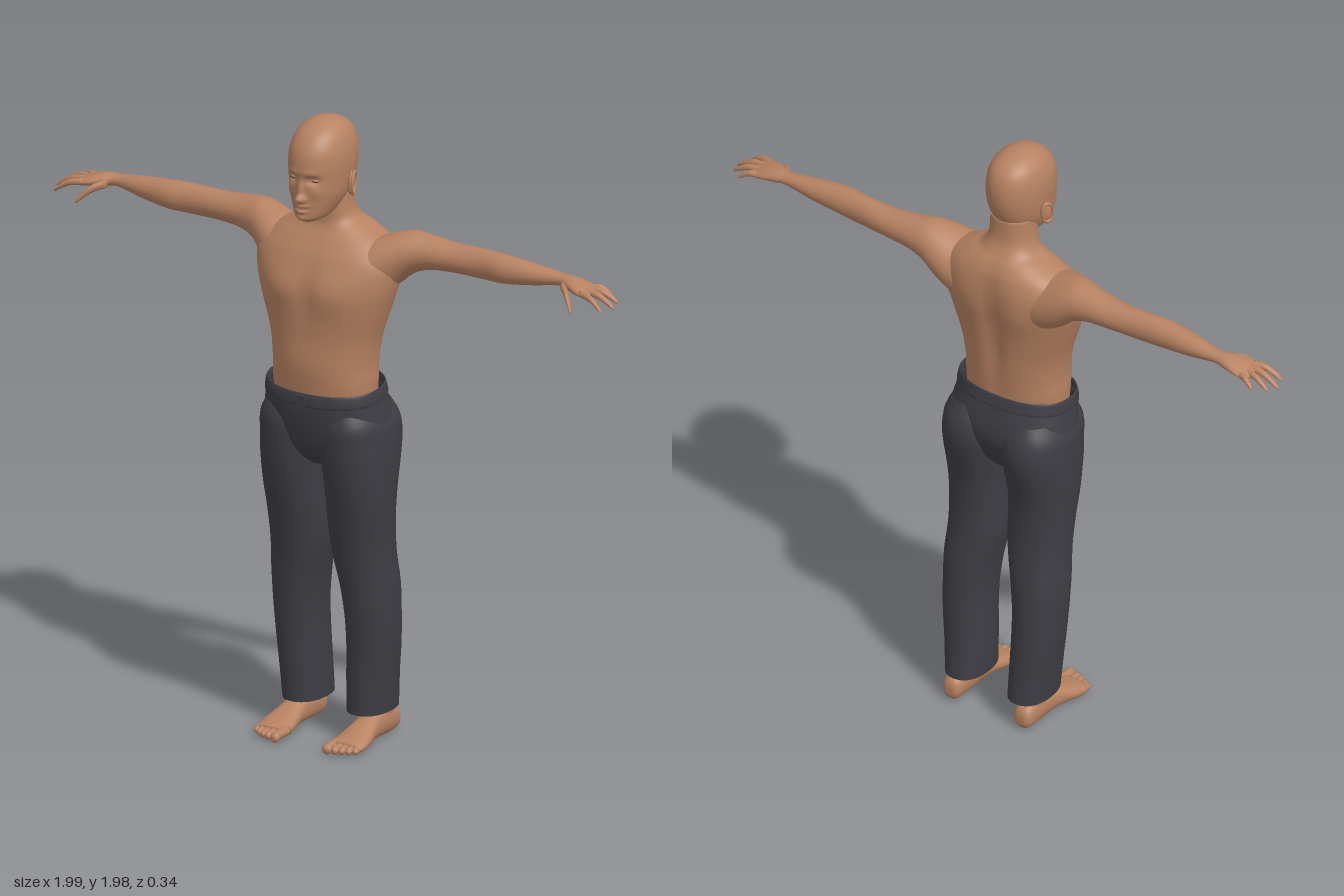
import * as THREE from 'three';

const skin = new THREE.MeshStandardMaterial({ color: 0xb78262 });
skin.name = 'skin';
const cloth = new THREE.MeshStandardMaterial({ color: 0x3e3d44, side: THREE.DoubleSide });
cloth.name = 'trouser cloth';
const lashBrown = new THREE.MeshStandardMaterial({ color: 0x3f2b22 });
lashBrown.name = 'lash brown';

// Catmull-Rom blend of four rows of numbers
function blend(a, b, c, d, t) {
  return b.map((p, i) => p + 0.5 * t * (c[i] - a[i] + t * (2 * a[i] - 5 * p + 4 * c[i] - d[i]
    + t * (3 * (p - c[i]) + d[i] - a[i]))));
}

// Place (along, u, v) on the chosen axis
const place = {
  y: (t, u, v) => [u, t, v],
  x: (t, u, v) => [t, v, u],
  z: (t, u, v) => [v, u, t],
};

// Smooth skin over superellipse rings; row = [along, uMin, uMax, vMin, vMax], along rising
function loft(rows, axis, { seg = 32, steps = 4, n = 2, caps = true } = {}) {
  const rings = [];
  const at = i => rows[Math.min(rows.length - 1, Math.max(0, i))];
  for (let i = 0; i < rows.length - 1; i++)
    for (let s = 0; s < steps; s++) rings.push(blend(at(i - 1), at(i), at(i + 1), at(i + 2), s / steps));
  rings.push(rows[rows.length - 1]);
  const pos = [], index = [];
  const bend = w => Math.sign(w) * Math.abs(w) ** (2 / n);
  for (const [t, u0, u1, v0, v1] of rings)
    for (let j = 0; j < seg; j++) {
      const a = j / seg * Math.PI * 2;
      pos.push(...place[axis](t, (u0 + u1) / 2 + (u1 - u0) / 2 * bend(Math.cos(a)),
        (v0 + v1) / 2 + (v1 - v0) / 2 * bend(Math.sin(a))));
    }
  for (let i = 0; i < rings.length - 1; i++)
    for (let j = 0; j < seg; j++) {
      const a = i * seg + j, b = i * seg + (j + 1) % seg;
      index.push(a, a + seg, b, b, a + seg, b + seg);
    }
  if (caps) [0, rings.length - 1].forEach((r, end) => {
    const [t, u0, u1, v0, v1] = rings[r], mid = pos.length / 3;
    pos.push(...place[axis](t, (u0 + u1) / 2, (v0 + v1) / 2));
    for (let j = 0; j < seg; j++) {
      const a = r * seg + j, b = r * seg + (j + 1) % seg;
      index.push(mid, ...(end ? [b, a] : [a, b]));
    }
  });
  const g = new THREE.BufferGeometry();
  g.setAttribute('position', new THREE.Float32BufferAttribute(pos, 3));
  g.setIndex(index);
  g.computeVertexNormals();
  return g;
}

// Move every vertex by a rule
function shape(g, rule) {
  const p = g.attributes.position, v = new THREE.Vector3();
  for (let i = 0; i < p.count; i++) {
    rule(v.fromBufferAttribute(p, i));
    p.setXYZ(i, v.x, v.y, v.z);
  }
  g.computeVertexNormals();
  return g;
}

// Soft symmetric swellings and hollows: [x, y, amount, width, height, side]
function sculpt(g, bumps) {
  return shape(g, v => {
    let dz = 0;
    for (const [x, y, amount, sx, sy, side = 1] of bumps)
      dz += side * amount * THREE.MathUtils.smoothstep(v.z * side, 0, 0.06)
        * Math.exp(-(((Math.abs(v.x) - x) / sx) ** 2) - ((v.y - y) / sy) ** 2);
    v.z += dz;
  });
}

function mirrored(g) {
  const m = g.clone().scale(-1, 1, 1), ix = m.index.array;
  for (let i = 0; i < ix.length; i += 3) [ix[i], ix[i + 1]] = [ix[i + 1], ix[i]];
  m.computeVertexNormals();
  return m;
}

// Finger or toe from points [x, y, z, radius] running along the axis
const digit = (pts, axis) => loft(pts.map(([x, y, z, r]) => axis === 'x'
  ? [x, z - r, z + r, y - r, y + r] : [z, y - r, y + r, x - r, x + r]), axis, { seg: 12 });

export function createModel() {
  const model = new THREE.Group();
  model.name = 'figure';
  const add = (name, g, mat) => {
    const m = new THREE.Mesh(g, mat);
    m.name = name;
    model.add(m);
  };
  const pair = (name, g, mat) => {
    add(name + 'Left', g, mat);
    add(name + 'Right', mirrored(g), mat);
  };
  const body = rows => rows.map(([y, w, zb, zf]) => [y, -w, w, zb, zf]);

  // Torso and neck, with chest, shoulder blades and spine groove
  add('torso', sculpt(loft(body([
    [1.10, 0.165, -0.105, 0.12], [1.16, 0.168, -0.11, 0.127], [1.22, 0.168, -0.115, 0.13],
    [1.30, 0.18, -0.122, 0.13], [1.40, 0.212, -0.135, 0.133], [1.48, 0.235, -0.146, 0.128],
    [1.55, 0.24, -0.147, 0.104], [1.60, 0.195, -0.14, 0.075], [1.635, 0.135, -0.124, 0.052],
    [1.66, 0.09, -0.105, 0.046], [1.70, 0.073, -0.086, 0.05], [1.77, 0.07, -0.08, 0.05],
  ]), 'y', { seg: 64, steps: 6, n: 2.25 }), [
    [0.09, 1.45, 0.012, 0.07, 0.06], [0, 1.45, -0.006, 0.02, 0.1], [0, 1.22, 0.005, 0.08, 0.06],
    [0.1, 1.5, 0.01, 0.06, 0.09, -1], [0, 1.38, -0.016, 0.03, 0.2, -1],
  ]), skin);

  // Head, sculpted with nose, eye sockets, lips and chin
  add('head', sculpt(loft(body([
    [1.676, 0.022, 0.06, 0.125], [1.69, 0.046, 0.0, 0.143], [1.72, 0.064, -0.04, 0.146],
    [1.76, 0.08, -0.075, 0.146], [1.80, 0.087, -0.095, 0.148], [1.85, 0.091, -0.105, 0.151],
    [1.90, 0.088, -0.102, 0.142], [1.94, 0.074, -0.085, 0.116], [1.965, 0.05, -0.052, 0.08],
    [1.977, 0.024, -0.015, 0.045], [1.98, 0.004, 0.012, 0.02],
  ]), 'y', { seg: 96, steps: 8, n: 2.15 }), [
    [0, 1.757, 0.026, 0.011, 0.013], [0, 1.785, 0.012, 0.009, 0.022], [0.012, 1.752, 0.009, 0.008, 0.008],
    [0.035, 1.815, -0.014, 0.018, 0.012], [0.03, 1.838, 0.004, 0.025, 0.008],
    [0, 1.732, 0.011, 0.02, 0.006], [0, 1.715, 0.01, 0.017, 0.006], [0, 1.7235, -0.006, 0.025, 0.003],
    [0, 1.692, 0.006, 0.02, 0.01], [0.05, 1.775, 0.006, 0.02, 0.02],
  ]), skin);

  // Eyelids, lash lines and ears
  const eye = new THREE.Vector3(0.035, 1.813, 0.115);
  pair('eyelid', new THREE.SphereGeometry(0.0165, 20, 14).scale(1.15, 0.7, 1)
    .translate(eye.x, eye.y, eye.z), skin);
  const lash = [-1, -0.5, 0, 0.5, 1].map(a => new THREE.Vector3(
    eye.x + 0.019 * Math.sin(a), eye.y - 0.002 - 0.001 * a * a, eye.z + 0.0165 * Math.cos(a)));
  pair('lashLine', new THREE.TubeGeometry(new THREE.CatmullRomCurve3(lash), 16, 0.0013, 6), lashBrown);
  const setEar = g => g.rotateY(0.35).rotateX(-0.12).translate(0.095, 1.787, 0.016);
  pair('ear', setEar(new THREE.SphereGeometry(1, 20, 14).scale(0.009, 0.036, 0.02)), skin);
  pair('earRim', setEar(new THREE.TorusGeometry(0.03, 0.005, 8, 28).rotateY(Math.PI / 2)
    .scale(1, 1.15, 0.66).translate(0.008, 0, 0)), skin);

  // Arms from inside the chest out to the palm: [x, zMin, zMax, yMin, yMax]
  pair('arm', loft([
    [0.08, -0.125, 0.07, 1.41, 1.59], [0.16, -0.135, 0.072, 1.425, 1.613], [0.22, -0.135, 0.045, 1.465, 1.634],
    [0.27, -0.128, 0.015, 1.508, 1.645], [0.33, -0.122, -0.006, 1.533, 1.638], [0.42, -0.115, -0.02, 1.54, 1.63],
    [0.52, -0.105, -0.026, 1.54, 1.633], [0.60, -0.102, -0.018, 1.543, 1.632], [0.70, -0.1, -0.03, 1.556, 1.622],
    [0.79, -0.094, -0.046, 1.572, 1.61], [0.83, -0.1, -0.032, 1.567, 1.609], [0.87, -0.106, -0.014, 1.564, 1.6],
    [0.905, -0.104, -0.01, 1.562, 1.588], [0.918, -0.095, -0.02, 1.568, 1.582],
  ], 'x'), skin);

  // Fingers and thumb
  [
    ['indexFinger', [0.89, 1.579, -0.022], [0.98, 1.541, -0.002]],
    ['middleFinger', [0.89, 1.581, -0.045], [0.997, 1.543, -0.046]],
    ['ringFinger', [0.89, 1.579, -0.068], [0.985, 1.55, -0.084]],
    ['littleFinger', [0.88, 1.576, -0.09], [0.947, 1.556, -0.112]],
    ['thumb', [0.815, 1.583, -0.04], [0.887, 1.53, 0.024]],
  ].forEach(([name, a, b]) => {
    const r = name === 'thumb' ? 0.013 : 0.0105;
    pair(name, digit([[0, 1], [0.45, 1], [0.8, 0.8], [0.95, 0.55], [1, 0.15]].map(([t, k]) => [
      ...a.map((p, i) => p + (b[i] - p) * t + (i === 1 ? 0.012 * Math.sin(t * Math.PI) : 0)), r * k]), 'x'), skin);
  });

  // Trouser seat and waistband, both dipping toward the front
  const dip = v => { v.y -= 0.1 * v.z * THREE.MathUtils.smoothstep(v.y, 1.0, 1.1); };
  add('trouserSeat', shape(loft(body([
    [0.885, 0.05, -0.1, 0.06], [0.91, 0.12, -0.118, 0.088], [0.95, 0.19, -0.135, 0.112],
    [1.0, 0.206, -0.15, 0.126], [1.05, 0.202, -0.147, 0.134], [1.10, 0.192, -0.131, 0.139],
    [1.14, 0.186, -0.122, 0.136],
  ]), 'y', { seg: 64, n: 2.3, caps: false }), dip), cloth);
  add('waistband', shape(loft(body([
    [1.103, 0.188, -0.128, 0.136], [1.107, 0.194, -0.134, 0.143], [1.125, 0.192, -0.13, 0.143],
    [1.141, 0.189, -0.126, 0.14], [1.145, 0.185, -0.122, 0.136], [1.13, 0.18, -0.118, 0.132],
  ]), 'y', { seg: 64, n: 2.3, caps: false }), dip), cloth);
  add('waistTab', new THREE.BoxGeometry(0.022, 0.034, 0.006).translate(0, 1.11, 0.143), cloth);

  // Trouser legs, open at the hem: [y, xMin, xMax, zMin, zMax]
  pair('trouserLeg', loft([
    [0.09, 0.05, 0.18, -0.169, 0.023], [0.2, 0.05, 0.19, -0.16, 0.027], [0.3, 0.052, 0.2, -0.155, 0.031],
    [0.4, 0.05, 0.205, -0.15, 0.04], [0.5, 0.037, 0.207, -0.144, 0.05], [0.6, 0.016, 0.203, -0.13, 0.062],
    [0.7, 0.011, 0.205, -0.125, 0.08], [0.8, 0.011, 0.211, -0.131, 0.102], [0.9, 0.006, 0.214, -0.155, 0.12],
    [0.97, 0.003, 0.213, -0.167, 0.126], [1.03, 0.01, 0.207, -0.158, 0.128], [1.08, 0.03, 0.18, -0.13, 0.11],
  ], 'y', { n: 2.25, caps: false }), cloth);

  // Ankles, feet and toes
  pair('ankle', loft([
    [0.03, 0.1, 0.162, -0.15, -0.03], [0.09, 0.1, 0.165, -0.148, -0.04], [0.2, 0.09, 0.17, -0.14, -0.03],
  ], 'y'), skin);
  pair('foot', loft([
    [-0.167, 0.022, 0.05, 0.117, 0.145], [-0.155, 0.004, 0.075, 0.102, 0.16], [-0.11, 0, 0.097, 0.097, 0.166],
    [-0.05, 0.002, 0.094, 0.095, 0.167], [0, 0.005, 0.075, 0.09, 0.175], [0.05, 0.001, 0.054, 0.081, 0.187],
    [0.09, 0, 0.04, 0.078, 0.19], [0.112, 0.005, 0.032, 0.082, 0.184],
  ], 'z', { n: 2.2 }), skin);
  for (let i = 0; i < 5; i++) {
    const x = [0.093, 0.119, 0.14, 0.159, 0.176][i], r = [0.016, 0.012, 0.0115, 0.011, 0.0105][i];
    const tip = [0.157, 0.153, 0.146, 0.137, 0.126][i];
    pair('toe' + (i + 1), digit([[x, 0.02, 0.08, r], [x, 0.019, tip - 0.025, r * 0.9],
      [x, 0.016, tip - 0.01, r], [x, 0.015, tip - 0.002, r * 0.6], [x, 0.015, tip, r * 0.2]], 'z'), skin);
  }
  return model;
}
